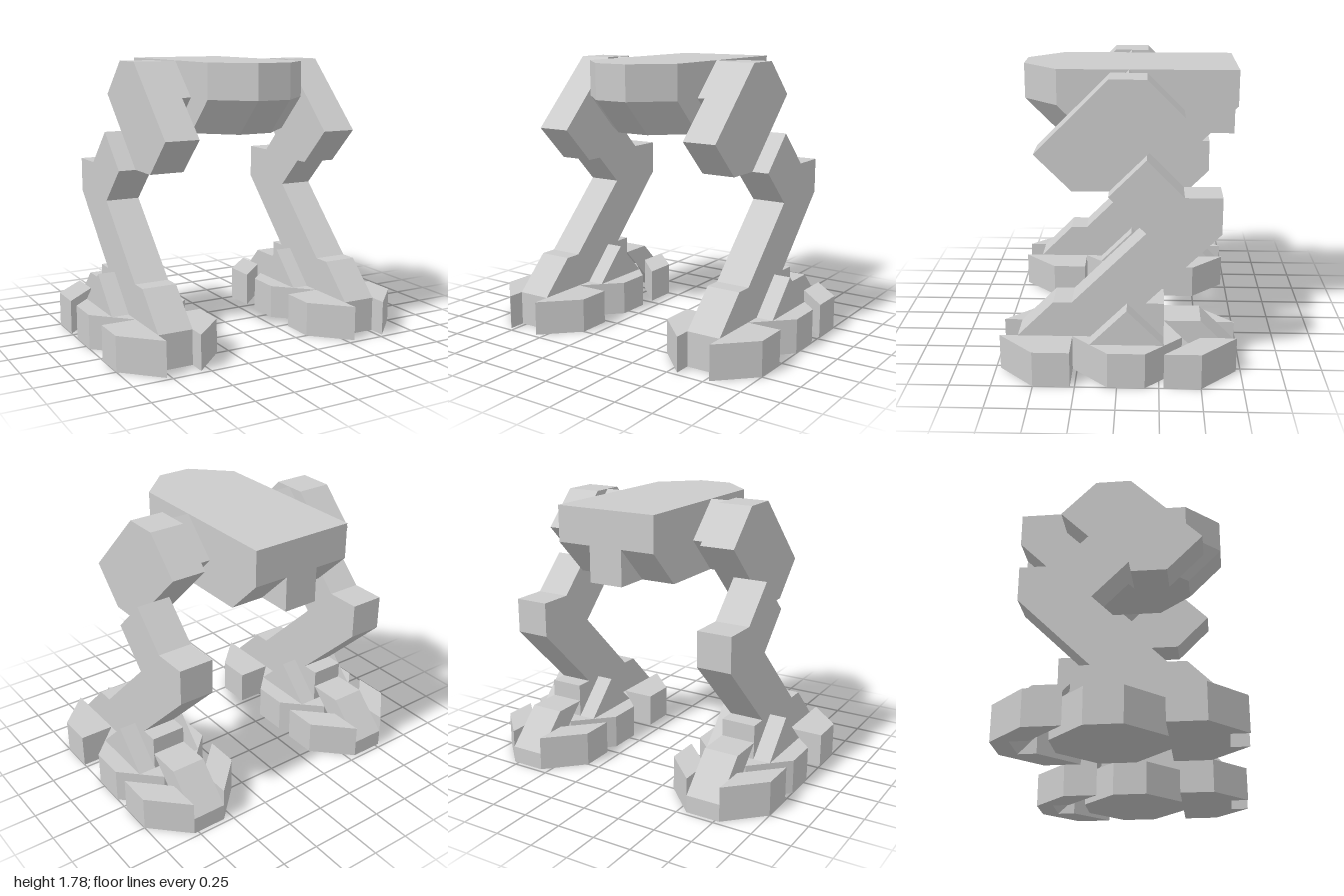
import * as THREE from 'three';

const U = 1 / 9; // grid unit: all coordinates below are in ninths
const grey = new THREE.MeshStandardMaterial({ color: 0xcccccc, flatShading: true });

function finish(geo, name) {
  geo.scale(U, U, U);
  geo.computeVertexNormals();
  const mesh = new THREE.Mesh(geo, grey);
  mesh.name = name;
  return mesh;
}

const extrude = (pts, depth) => new THREE.ExtrudeGeometry(
  new THREE.Shape(pts.map(([a, b]) => new THREE.Vector2(a, b))), { depth, bevelEnabled: false });

// Side outline [z, y] extruded across x0..x1
function sideGeo(pts, x0, x1) {
  const geo = extrude(pts, x1 - x0);
  geo.rotateY(-Math.PI / 2);
  geo.translate(x1, 0, 0);
  return geo;
}

// Plan outline [x, z] extruded up y0..y1
function planGeo(pts, y0, y1) {
  const geo = extrude(pts.map(([x, z]) => [x, -z]), y1 - y0);
  geo.rotateX(-Math.PI / 2);
  geo.translate(0, y0, 0);
  return geo;
}

function createBody() {
  const body = new THREE.Group();
  body.name = 'body';
  const outline = [[-3, -6.5], [3, -6.5], [3, 3.5], [1, 5.5], [-1, 5.5], [-3, 3.5]];
  body.add(finish(planGeo(outline, 14, 16), 'upperHull'));

  // Lower hull: bottom edge slopes inward at the front and the back
  const lower = planGeo(outline, 12, 14);
  const p = lower.attributes.position;
  for (let i = 0; i < p.count; i++) {
    if (p.getY(i) < 13) p.setZ(i, p.getZ(i) + (p.getZ(i) > 0 ? -2 : 2));
  }
  body.add(finish(lower, 'lowerHull'));

  // Narrow block filling the middle of the rear slope
  body.add(finish(sideGeo([[-6.5, 14], [-6.5, 12], [-4.5, 12], [-4.5, 14]], -1, 1), 'tailBlock'));
  return body;
}

function createLeg(side) {
  const leg = new THREE.Group();
  leg.name = side > 0 ? 'leftLeg' : 'rightLeg';
  const addSide = (name, x0, x1, pts) => leg.add(finish(
    side > 0 ? sideGeo(pts, x0, x1) : sideGeo(pts, -x1, -x0), name));
  const addPlan = (name, pts) => leg.add(finish(
    planGeo(pts.map(([x, z]) => [side * x, z]), 0, 2), name));

  // Hip, thigh and shin
  addSide('hipAxle', 3, 4, [[-0.5, 16], [-2.5, 14], [-0.5, 12], [1.5, 14]]);
  addSide('thigh', 4, 6, [[4.5, 12], [0.5, 16], [-1.5, 16], [-3.5, 14], [0.5, 10], [2.5, 10]]);
  addSide('shin', 5, 7, [[-1.5, 12], [-3.5, 10], [-5.5, 10], [-5.5, 8], [-1.5, 4],
    [2.5, 4], [-1.5, 8], [0.5, 10]]);

  // Ankle with side braces
  addSide('ankle', 5, 7, [[5.5, 2], [3.5, 4], [-2.5, 4], [-2.5, 2]]);
  addSide('ankleBrace', 4, 8, [[1.5, 2], [-0.5, 4], [-2.5, 2]]);

  // Octagonal sole and middle toe
  addPlan('sole', [[3, -1.5], [5, -3.5], [7, -3.5], [9, -1.5], [9, 0.5], [7, 2.5], [5, 2.5], [3, 0.5]]);
  addPlan('middleToe', [[5, 2.5], [7, 2.5], [7, 5.5], [5, 5.5]]);

  // Paired front toes and rear claws, mirrored about the foot's centre line
  for (const k of [-1, 1]) {
    const about = pts => pts.map(([x, z]) => [6 + k * x, z]);
    addPlan('frontToe', about([[1, 2.5], [3, 2.5], [3, 4.5], [1, 6.5]]));
    addPlan('rearClaw', about([[1, -6.5], [3, -4.5], [3, -2.5], [1, -4.5]]));
  }

  // Sloping heel spur joining the rear claws to the ankle
  addSide('heelSpur', 5, 7, [[-2.5, 3], [-4.5, 3], [-6.5, 1], [-6.5, 0], [-5.5, 0]]);
  return leg;
}

export function createModel() {
  const model = new THREE.Group();
  model.name = 'walker';
  model.add(createBody(), createLeg(1), createLeg(-1));
  return model;
}
